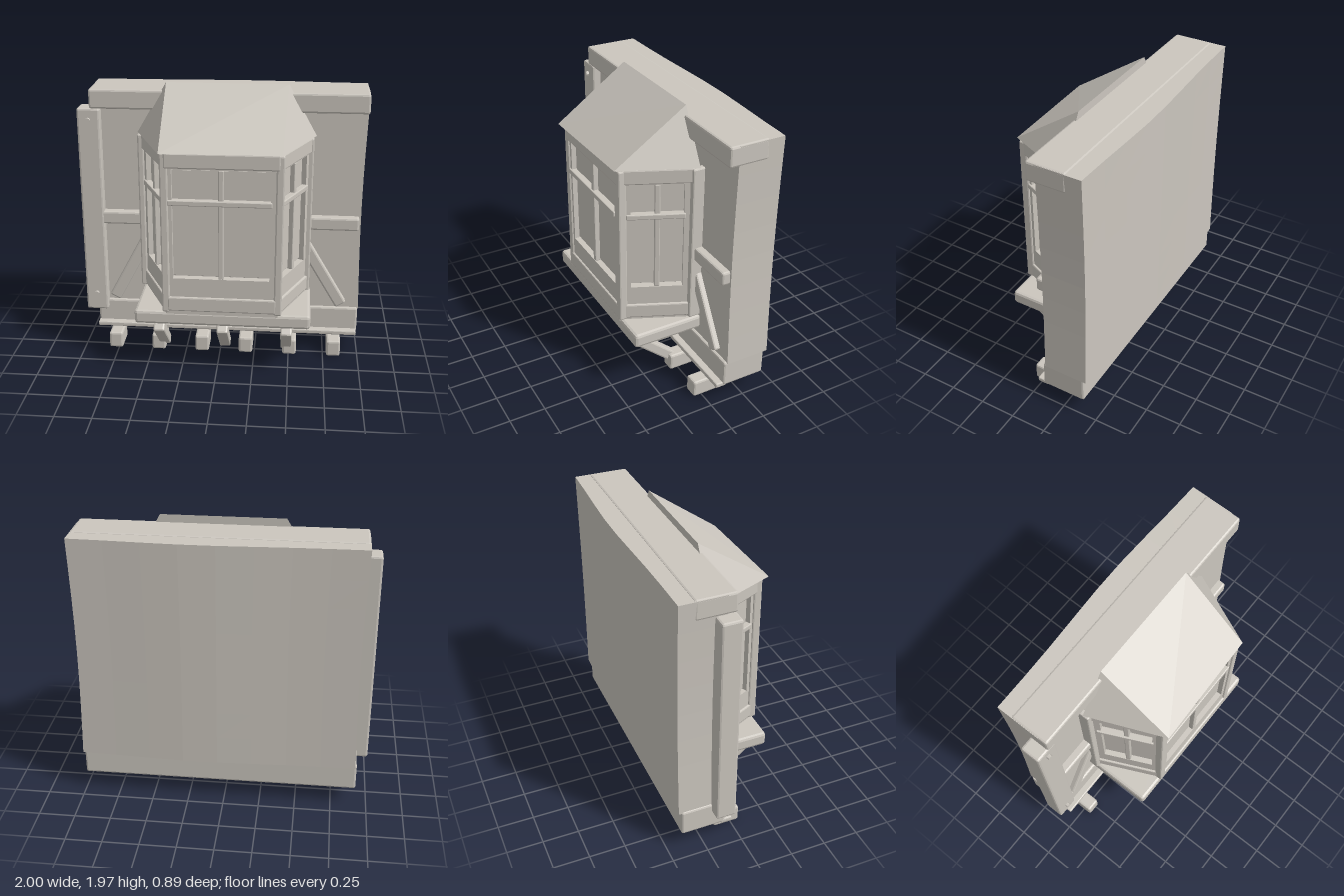
import * as THREE from 'three';
import { RoundedBoxGeometry } from 'three/addons/geometries/RoundedBoxGeometry.js';

const plaster = new THREE.MeshStandardMaterial({ color: 0xcbc6be, flatShading: true });
plaster.name = 'warm grey';

function add(parent, name, geometry) {
  const mesh = new THREE.Mesh(geometry, plaster);
  mesh.name = name;
  parent.add(mesh);
  return mesh;
}

// Chamfered timber given by its limits on each axis
function beam(parent, name, [x0, x1], [y0, y1], [z0, z1], chamfer = 0.014) {
  const mesh = add(parent, name, new RoundedBoxGeometry(x1 - x0, y1 - y0, z1 - z0, 1, chamfer));
  mesh.position.set((x0 + x1) / 2, (y0 + y1) / 2, (z0 + z1) / 2);
  return mesh;
}

// Chamfered timber running between two points
function strut(parent, name, from, to, width, depth) {
  const a = new THREE.Vector3(...from), b = new THREE.Vector3(...to);
  const mesh = add(parent, name, new RoundedBoxGeometry(width, a.distanceTo(b), depth, 1, 0.013));
  mesh.position.copy(a).lerp(b, 0.5);
  mesh.quaternion.setFromUnitVectors(new THREE.Vector3(0, 1, 0), b.sub(a).normalize());
  return mesh;
}

// Slightly warped wall: pinched at the sides, bulging at the back
function wallGeometry() {
  const g = new THREE.BoxGeometry(1.91, 1.6, 0.31, 8, 8, 1);
  const p = g.attributes.position;
  for (let i = 0; i < p.count; i++) {
    const x = p.getX(i), y = p.getY(i), z = p.getZ(i);
    const middle = Math.cos((y / 1.6) * Math.PI);
    p.setX(i, x * (1 - 0.018 * middle));
    if (z < 0) p.setZ(i, z - 0.03 * Math.exp(-Math.pow((x - 0.15) / 0.55, 2)));
  }
  return g;
}

// One glazed side of the bay, running from p to q (x, z), outer face outward
function bayPanel(parent, name, p, q, marginL, marginR) {
  const dx = q[0] - p[0], dz = q[1] - p[1], w = Math.hypot(dx, dz), h = w / 2;
  const panel = new THREE.Group();
  panel.name = name;
  panel.position.set((p[0] + q[0]) / 2, 0, (p[1] + q[1]) / 2);
  panel.rotation.y = -Math.atan2(dz, dx);
  parent.add(panel);

  const l = -h + marginL, r = h - marginR, low = 0.74, high = 1.51;
  const rect = (Kind, a, b, c, d) => new Kind([[a, c], [b, c], [b, d], [a, d]].map(v => new THREE.Vector2(...v)));
  const shape = rect(THREE.Shape, -h, h, 0.5, 1.62);
  shape.holes.push(rect(THREE.Path, l, r, low, high));
  add(panel, 'windowFrame', new THREE.ExtrudeGeometry(shape, { depth: 0.05, bevelEnabled: false })).position.z = -0.055;

  beam(panel, 'lowerBand', [-h + 0.01, h - 0.01], [0.5, 0.605], [-0.03, 0.01], 0.01);
  beam(panel, 'upperBand', [-h, h], [1.52, 1.625], [-0.03, 0.012], 0.01);
  beam(panel, 'glass', [l - 0.005, r + 0.005], [low + 0.01, high - 0.012], [-0.047, -0.04], 0.001);
  const mid = (l + r) / 2;
  beam(panel, 'verticalBar', [mid - 0.018, mid + 0.018], [low, high], [-0.045, -0.005], 0.006);
  beam(panel, 'horizontalBar', [l - 0.03, r + 0.01], [1.265, 1.302], [-0.04, 0.008], 0.006);
}

function roofGeometry() {
  const eave = [[-0.58, 1.63, -0.07], [-0.365, 1.63, 0.44], [0.432, 1.63, 0.42], [0.65, 1.63, -0.07]];
  const [a, b, c, d] = eave;
  const e = [-0.375, 1.98, -0.07], f = [0.455, 1.98, -0.07];
  const faces = [[b, c, f], [b, f, e], [a, b, e], [c, d, f], [a, e, f], [a, f, d], [a, c, b], [a, d, c]];
  const g = new THREE.BufferGeometry();
  g.setAttribute('position', new THREE.Float32BufferAttribute(faces.flat(2), 3));
  g.computeVertexNormals();
  return g;
}

export function createModel() {
  const model = new THREE.Group();
  model.name = 'bayWindowWall';

  // Wall with its horizontal timbers
  add(model, 'wall', wallGeometry()).position.set(0.045, 1.12, -0.267);
  beam(model, 'bottomBeam', [-0.92, 0.995], [0.14, 0.33], [-0.405, -0.09]);
  beam(model, 'bottomTrim', [-0.92, 0.99], [0.132, 0.165], [-0.12, -0.04], 0.008);
  beam(model, 'topBeam', [-0.91, 1.0], [1.79, 1.926], [-0.32, -0.045]);
  beam(model, 'middleRail', [-0.87, 0.97], [0.945, 1.04], [-0.16, -0.055]);
  beam(model, 'centreStud', [-0.03, 0.1], [0.27, 1.8], [-0.16, -0.07]);

  // Side post and its bolts
  beam(model, 'sidePost', [-1.0, -0.84], [0.265, 1.79], [-0.19, -0.05]);
  for (const y of [0.4, 1.71]) {
    const bolt = add(model, 'bolt', new THREE.CylinderGeometry(0.017, 0.017, 0.03, 8));
    bolt.rotation.x = Math.PI / 2;
    bolt.position.set(-0.92, y, -0.045);
  }

  // Diagonal wall braces
  strut(model, 'diagonalBrace', [-0.79, 0.36, -0.11], [-0.46, 0.98, -0.11], 0.085, 0.08);
  strut(model, 'diagonalBrace', [0.87, 0.36, -0.11], [0.5, 0.98, -0.11], 0.085, 0.08);

  // Joist ends below the wall
  for (let i = 0; i < 6; i++) {
    const x = -0.77 + i * 0.319;
    beam(model, 'joistEnd', [x - 0.05, x + 0.05], [0.01, 0.13], [-0.125, 0.062]);
  }

  // Sloping brackets below the bay
  for (const x of [-0.41, 0.035, 0.482]) {
    strut(model, 'bracket', [x, 0.06, -0.01], [x, 0.325, 0.29], 0.08, 0.075);
  }

  // Bay window
  const bay = new THREE.Group();
  bay.name = 'bayWindow';
  model.add(bay);
  beam(bay, 'sill', [-0.565, 0.645], [0.385, 0.485], [-0.12, 0.385], 0.02);
  const left = [-0.55, -0.06], a = [-0.34, 0.39], b = [0.42, 0.39], right = [0.62, -0.06];
  bayPanel(bay, 'leftPanel', left, a, 0.07, 0.08);
  bayPanel(bay, 'frontPanel', a, b, 0.05, 0.06);
  bayPanel(bay, 'rightPanel', b, right, 0.08, 0.07);
  for (const [x, z] of [a, b]) {
    beam(bay, 'cornerPost', [x - 0.027, x + 0.027], [0.49, 1.62], [z - 0.05, z + 0.008], 0.01);
  }
  for (const [x, z] of [left, right]) {
    beam(bay, 'wallPost', [x - 0.03, x + 0.015], [0.49, 1.62], [z - 0.06, z + 0.03], 0.01);
  }
  add(bay, 'roof', roofGeometry());
  // Deck closing the bay floor
  const deck = new THREE.Shape([left, a, b, right].map(([x, z]) => new THREE.Vector2(x, -z)));
  const floor = add(bay, 'floor', new THREE.ExtrudeGeometry(deck, { depth: 0.03, bevelEnabled: false }));
  floor.rotation.x = -Math.PI / 2;
  floor.position.y = 0.475;

  return model;
}
